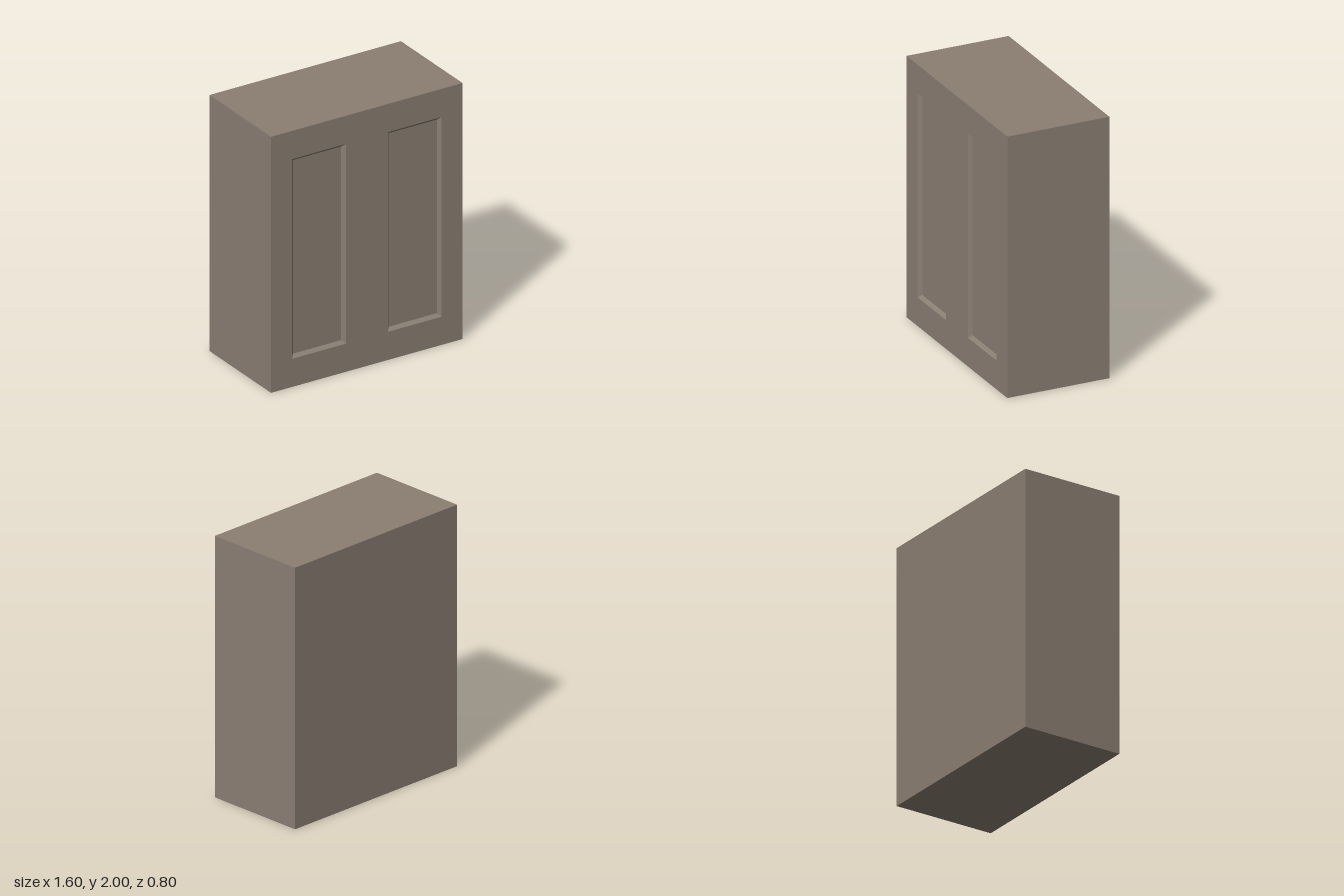
import * as THREE from 'three';

const W = 1.6, H = 2, D = 0.8;
const panel = { w: 0.45, h: 1.56, x: 0.4, y: 1, inset: 0.024, depth: 0.025 };

const material = new THREE.MeshStandardMaterial({ color: 0x8b7f73, flatShading: true });

function addMesh(parent, name, geometry) {
  const mesh = new THREE.Mesh(geometry, material);
  mesh.name = name;
  parent.add(mesh);
  return mesh;
}

// Corners of a centred rectangle, counter-clockwise seen from the front
function corners(w, h, x = 0, y = 0) {
  return [[-1, -1], [1, -1], [1, 1], [-1, 1]].map(
    ([sx, sy]) => new THREE.Vector2(x + sx * w / 2, y + sy * h / 2));
}

// Four mitred slopes from the opening down to the sunken panel
function bevelGeometry(w, h, inset, depth) {
  const outer = corners(w, h);
  const inner = corners(w - 2 * inset, h - 2 * inset);
  const positions = [];
  for (let i = 0; i < 4; i++) {
    const j = (i + 1) % 4;
    const a = [outer[i].x, outer[i].y, 0], b = [outer[j].x, outer[j].y, 0];
    const c = [inner[j].x, inner[j].y, -depth], d = [inner[i].x, inner[i].y, -depth];
    positions.push(...a, ...b, ...c, ...a, ...c, ...d);
  }
  const geometry = new THREE.BufferGeometry();
  geometry.setAttribute('position', new THREE.Float32BufferAttribute(positions, 3));
  geometry.computeVertexNormals();
  return geometry;
}

export function createModel() {
  const model = new THREE.Group();
  model.name = 'panelledBlock';

  // Body: a box whose front side is left out
  const box = new THREE.BoxGeometry(W, H, D);
  const index = Array.from(box.index.array);
  index.splice(24, 6);
  box.setIndex(index);
  box.clearGroups();
  addMesh(model, 'body', box).position.y = H / 2;

  // Front face with two openings
  const face = new THREE.Shape(corners(W, H, 0, H / 2));
  for (const side of [-1, 1]) {
    face.holes.push(new THREE.Path(corners(panel.w, panel.h, side * panel.x, panel.y).reverse()));
  }
  addMesh(model, 'frontFace', new THREE.ShapeGeometry(face)).position.z = D / 2;

  // Sunken panels with bevelled borders
  for (const side of [-1, 1]) {
    const group = new THREE.Group();
    group.name = side > 0 ? 'leftPanel' : 'rightPanel';
    group.position.set(side * panel.x, panel.y, D / 2);
    addMesh(group, 'panelBevel', bevelGeometry(panel.w, panel.h, panel.inset, panel.depth));
    const sheet = new THREE.PlaneGeometry(panel.w - 2 * panel.inset, panel.h - 2 * panel.inset);
    addMesh(group, 'panelSheet', sheet).position.z = -panel.depth;
    model.add(group);
  }
  return model;
}
